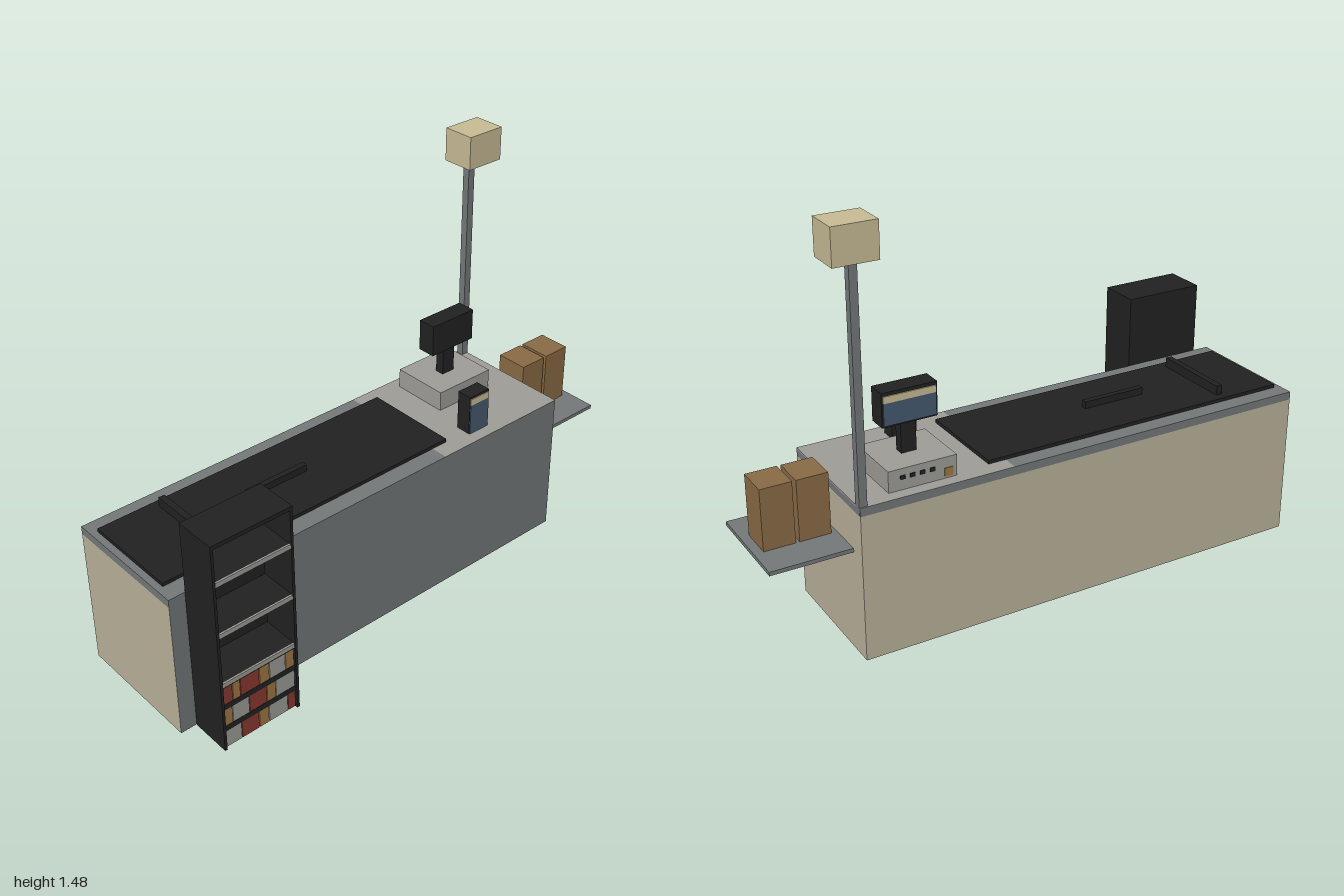
import * as THREE from 'three';

const make = (name, hex, side = THREE.FrontSide) => {
  const m = new THREE.MeshStandardMaterial({ color: hex, side });
  m.name = name;
  return m;
};

export function createModel() {
  const root = new THREE.Group();
  root.name = 'checkoutCounter';
  const black = make('black', 0x222222);
  const grey = make('steelGrey', 0x75797a, THREE.DoubleSide);
  const pale = make('paleGrey', 0x9f9e99);
  const beige = make('panelBeige', 0xbab29b, THREE.DoubleSide);
  const cream = make('lampCream', 0xc9bc96);
  const brown = make('paperBrown', 0x8a6b45);
  const blue = make('screenBlue', 0x465a70);
  const red = make('packRed', 0x8c3a30);
  const ochre = make('packOchre', 0xa07a45);

  // Box given by its limits on each axis
  const box = (name, mat, x0, x1, y0, y1, z0, z1, parent = root) => {
    const mesh = new THREE.Mesh(new THREE.BoxGeometry(x1 - x0, y1 - y0, z1 - z0), mat);
    mesh.position.set((x0 + x1) / 2, (y0 + y1) / 2, (z0 + z1) / 2);
    mesh.name = name;
    parent.add(mesh);
    return mesh;
  };
  const group = (name) => {
    const g = new THREE.Group();
    g.name = name;
    root.add(g);
    return g;
  };
  // Single panel, turned about the upright axis
  const panel = (name, mat, w, y0, y1, x, z, turn, parent) => {
    const mesh = new THREE.Mesh(new THREE.PlaneGeometry(w, y1 - y0), mat);
    mesh.position.set(x, (y0 + y1) / 2, z);
    mesh.rotation.y = turn;
    mesh.name = name;
    parent.add(mesh);
  };

  // Counter: hollow shell, open underneath
  const counter = group('counter');
  const X0 = -1, X1 = 0.715, Z0 = -0.31, Z1 = 0.183, H = 0.555, B = 0.525;
  const cx = (X0 + X1) / 2, cz = (Z0 + Z1) / 2;
  panel('frontPanel', grey, X1 - X0, 0, H, cx, Z1, 0, counter);
  for (const [name, mat, y0, y1] of [['Panel', beige, 0, B], ['Band', grey, B, H]]) {
    panel('back' + name, mat, X1 - X0, y0, y1, cx, Z0, Math.PI, counter);
    panel('left' + name, mat, Z1 - Z0, y0, y1, X1, cz, Math.PI / 2, counter);
    panel('right' + name, mat, Z1 - Z0, y0, y1, X0, cz, -Math.PI / 2, counter);
  }
  box('beltSurround', grey, X0, 0.16, H - 0.006, H, Z0, Z1, counter);
  box('workTop', pale, 0.16, X1, H - 0.006, H, Z0, Z1, counter);

  // Conveyor belt with divider bars
  box('conveyorBelt', black, -0.975, 0.225, H, 0.568, -0.25, 0.117);
  box('beltStopBar', black, -0.757, -0.733, 0.568, 0.603, -0.22, 0.085);
  box('dividerBar', black, -0.51, -0.267, 0.568, 0.594, -0.077, -0.055);

  // Display rack on the customer side
  const rack = group('displayRack');
  const RX0 = -0.94, RX1 = -0.635, RZ0 = 0.185, RZ1 = 0.34;
  box('rackBack', black, RX0, RX1, 0, 0.82, RZ0, RZ0 + 0.012, rack);
  box('rackTop', black, RX0, RX1, 0.805, 0.82, RZ0, RZ1, rack);
  for (const x of [RX0, RX1 - 0.01]) box('rackSide', black, x, x + 0.01, 0, 0.82, RZ0, RZ1, rack);
  for (const y of [0.26, 0.46, 0.66]) {
    box('rackShelf', black, RX0 + 0.01, RX1 - 0.01, y, y + 0.018, RZ0 + 0.01, RZ1 - 0.008, rack);
    box('shelfEdge', pale, RX0 + 0.01, RX1 - 0.01, y, y + 0.018, RZ1 - 0.008, RZ1 - 0.002, rack);
  }

  // Three rows of packets: [material, width]
  const rows = [
    [[pale, 0.066], [red, 0.07], [ochre, 0.04], [pale, 0.077], [red, 0.032]],
    [[ochre, 0.035], [pale, 0.066], [red, 0.07], [ochre, 0.036], [pale, 0.078]],
    [[red, 0.04], [ochre, 0.03], [red, 0.075], [ochre, 0.04], [pale, 0.065], [ochre, 0.035]],
  ];
  rows.forEach((row, i) => {
    const y = 0.006 + i * 0.09;
    box('packetBoard', black, RX0 + 0.01, RX1 - 0.01, y + 0.068, y + 0.09, RZ0 + 0.01, RZ1 - 0.005, rack);
    let x = RX0 + 0.01;
    for (const [mat, w] of row) {
      const end = Math.min(x + w - 0.003, RX1 - 0.01);
      box('packet', mat, x, end, y, y + 0.067, RZ0 + 0.012, RZ1 - 0.006, rack);
      x += w;
    }
  });

  // Card terminal facing the customer
  const terminal = group('cardTerminal');
  box('terminalBody', black, 0.32, 0.412, H, 0.706, 0.075, 0.134, terminal);
  box('terminalScreen', blue, 0.322, 0.41, H, 0.672, 0.134, 0.137, terminal);
  box('terminalHeader', cream, 0.322, 0.41, 0.672, 0.698, 0.134, 0.137, terminal);

  // Cash register facing the cashier
  const register = group('cashRegister');
  box('registerBase', pale, 0.35, 0.595, H, 0.63, -0.265, -0.045, register);
  box('registerStem', black, 0.445, 0.5, 0.63, 0.745, -0.17, -0.135, register);
  box('registerMonitor', black, 0.375, 0.572, 0.742, 0.862, -0.187, -0.117, register);
  box('monitorScreen', blue, 0.38, 0.567, 0.748, 0.826, -0.191, -0.187, register);
  box('monitorHeader', cream, 0.38, 0.567, 0.826, 0.85, -0.191, -0.187, register);
  for (let i = 0; i < 4; i++) {
    const x = 0.43 + i * 0.035;
    box('registerKey', black, x, x + 0.018, 0.592, 0.606, -0.268, -0.265, register);
  }
  box('registerLabel', ochre, 0.365, 0.395, 0.562, 0.592, -0.268, -0.265, register);

  // Lane light on a pole
  box('lightPole', grey, 0.688, 0.716, 0.53, 1.36, -0.306, -0.278);
  box('laneLight', cream, 0.63, 0.782, 1.357, 1.48, -0.34, -0.217);

  // Bagging tray with two paper bags
  box('baggingTray', grey, 0.715, 1, 0.37, 0.384, -0.247, 0.122);
  for (const x of [0.735, 0.858]) box('paperBag', brown, x, x + 0.11, 0.384, 0.604, -0.123, 0);

  return root;
}
